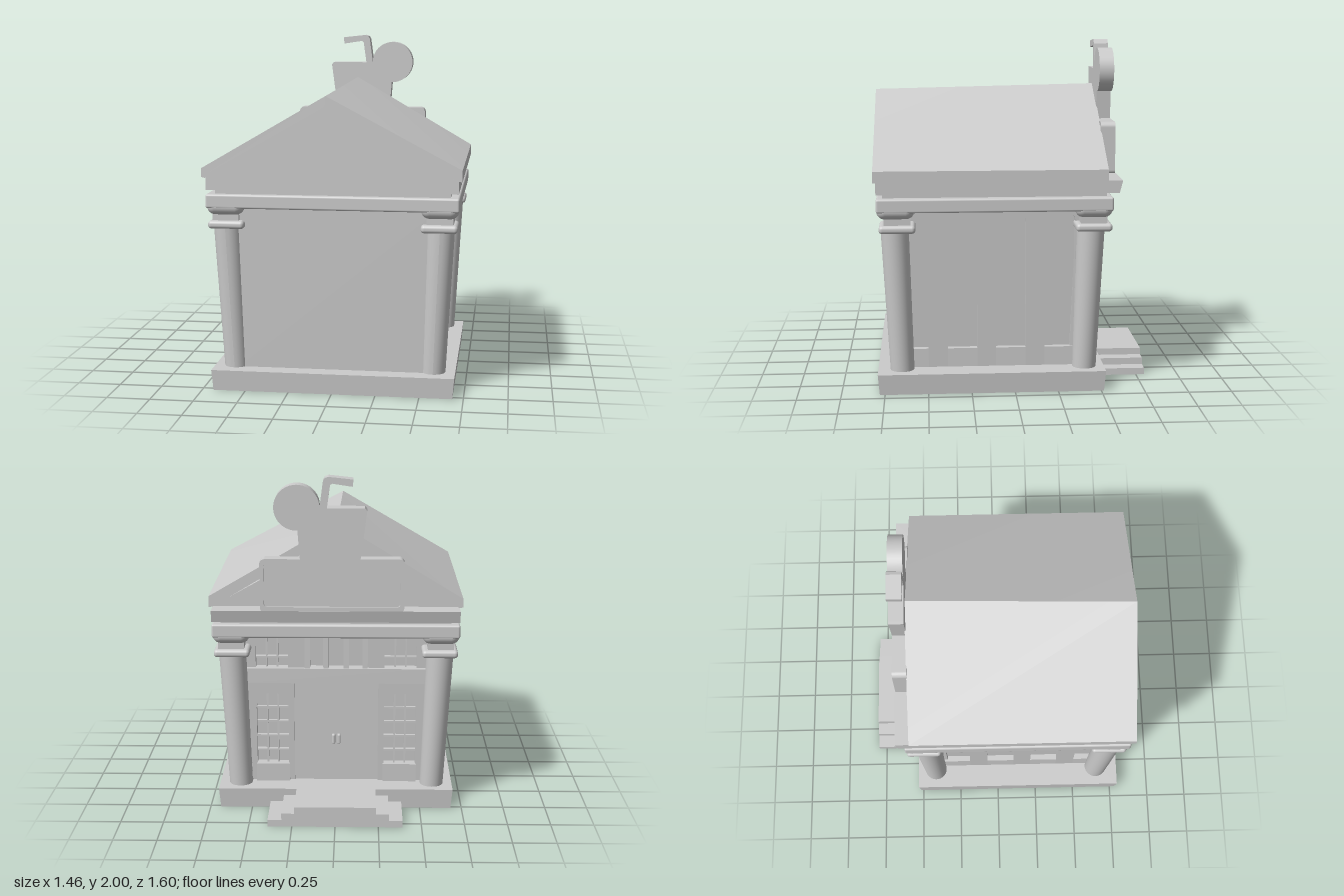
import * as THREE from 'three';
import { RoundedBoxGeometry } from 'three/addons/geometries/RoundedBoxGeometry.js';
import { toCreasedNormals } from 'three/addons/utils/BufferGeometryUtils.js';

const FLOOR = 0.12, TOP = 1.06, LEAN = 0.037;

export function createModel() {
  const model = new THREE.Group();
  const grey = new THREE.MeshStandardMaterial({ color: 0xcccccc });
  const thin = new THREE.MeshStandardMaterial({ color: 0xcccccc, side: THREE.DoubleSide });

  const add = (name, geo, x = 0, y = 0, z = 0, parent = model, mat = grey) => {
    const mesh = new THREE.Mesh(geo, mat);
    mesh.name = name;
    mesh.position.set(x, y, z);
    parent.add(mesh);
  };
  const group = (name, parent = model) => {
    const g = new THREE.Group();
    g.name = name;
    parent.add(g);
    return g;
  };
  // Move every vertex by a rule, then refresh the normals
  const reshape = (geo, rule) => {
    const p = geo.attributes.position, v = new THREE.Vector3();
    for (let i = 0; i < p.count; i++) {
      rule(v.fromBufferAttribute(p, i));
      p.setXYZ(i, v.x, v.y, v.z);
    }
    geo.computeVertexNormals();
    return geo;
  };
  // Box given by its limits, with the top edge pushed outward by `out`
  const block = (x0, x1, y0, y1, z0, z1, out = 0) => {
    const geo = new THREE.BoxGeometry(x1 - x0, y1 - y0, z1 - z0);
    if (out) reshape(geo, v => {
      if (v.y > 0) { v.x += Math.sign(v.x) * out; v.z += Math.sign(v.z) * out; }
    });
    return geo.translate((x0 + x1) / 2, (y0 + y1) / 2, (z0 + z1) / 2);
  };
  const poly = pts => new THREE.Shape(pts.map(p => new THREE.Vector2(...p)));
  const extrude = (shape, depth, z = 0) =>
    new THREE.ExtrudeGeometry(shape, { depth, bevelEnabled: false, curveSegments: 12 }).translate(0, 0, z);
  const archPath = (c, r, y0, y1) => {
    const s = new THREE.Path();
    s.moveTo(c - r, y0);
    s.lineTo(c + r, y0);
    s.lineTo(c + r, y1 - r);
    s.absarc(c, y1 - r, r, 0, Math.PI, false);
    s.lineTo(c - r, y0);
    return s;
  };
  const rectPath = (x0, x1, y0, y1) => poly([[x0, y0], [x1, y0], [x1, y1], [x0, y1]]);
  const lean = v => { v.z += LEAN * (v.y - FLOOR) / (TOP - FLOOR); };

  // Plinth, open underneath
  const plinth = block(-0.685, 0.688, 0, FLOOR, -0.515, 0.78, 0.01);
  const idx = Array.from(plinth.index.array);
  idx.splice(18, 6);
  plinth.setIndex(idx);
  add('plinth', plinth, 0, 0, 0, model, thin);

  // Entrance stairs, descending to both sides, hollow below
  const stairs = group('entranceStairs');
  const half = [[0.39, 0], [0.39, 0.04], [0.31, 0.04], [0.31, 0.08], [0.235, 0.08], [0.235, FLOOR]];
  const mirrored = pts => [...pts, ...pts.map(([x, y]) => [-x, y]).reverse()];
  const outer = mirrored(half);
  const inner = mirrored(half.map(([x, y]) => [x - 0.01, Math.max(0, y - 0.01)]));
  add('treads', extrude(poly([...outer, ...inner.reverse()]), 0.28, -0.8), 0, 0, 0, stairs);
  add('stairFace', extrude(poly(outer), 0.01, -0.8), 0, 0, 0, stairs);

  // Solid core behind the wall panels, and the plain wall
  add('core', block(-0.51, 0.51, FLOOR, TOP, -0.33, 0.66, LEAN));
  add('plainWall', reshape(block(-0.55, 0.55, FLOOR, TOP, 0.66, 0.69), v => {
    lean(v);
    if (v.y > 0.5) v.x += Math.sign(v.x) * LEAN;
  }));

  // Side walls with arched niches and low sills
  for (const s of [1, -1]) {
    const side = group(s > 0 ? 'leftWall' : 'rightWall');
    side.rotation.y = s * Math.PI / 2;
    const wall = rectPath(...(s > 0 ? [-0.685, 0.38] : [-0.38, 0.685]), 0.11, TOP + 0.02);
    for (const z of [0.584, 0.3, 0.018, -0.267]) {
      wall.holes.push(archPath(-s * z, 0.086, 0.12, TOP));
      add('nicheSill', block(-s * z - 0.086, -s * z + 0.086, FLOOR, 0.23, 0.5, 0.55), 0, 0, 0, side);
    }
    add('archedWall', reshape(extrude(wall, 0.045, 0.505), lean), 0, 0, 0, side);
  }

  // Entrance facade with door, windows, belt and posts
  const facade = group('entranceFacade');
  facade.rotation.y = Math.PI;
  const front = rectPath(-0.535, 0.535, 0.11, TOP + 0.02);
  const windows = [[-0.38, 0.095, 0.23, 0.68], [0.38, 0.095, 0.23, 0.68],
    [-0.38, 0.095, 0.82, 1.05], [0.38, 0.095, 0.82, 1.05], [0, 0.18, 0.82, 1.055]];
  front.holes.push(rectPath(-0.25, 0.25, 0.12, 0.76));
  for (const [c, r, y0, y1] of windows) {
    front.holes.push(archPath(c, r, y0, y1));
    const bars = group('windowBars', facade);
    const z = 0.335 + LEAN * (y0 - FLOOR);
    for (const k of [-1, 1])
      add('verticalBar', block(c + k * r / 3 - 0.005, c + k * r / 3 + 0.005, y0, y1 - 0.01, z - 0.02, z + 0.025), 0, 0, 0, bars);
    for (let y = y0 + 0.08; y < y1 - r + 0.02; y += 0.09)
      add('crossBar', block(c - r, c + r, y - 0.005, y + 0.005, z - 0.02, z + 0.025), 0, 0, 0, bars);
  }
  add('facadeWall', reshape(extrude(front, 0.05, 0.325), lean), 0, 0, 0, facade);
  add('door', block(-0.25, 0.25, FLOOR, 0.76, 0.32, 0.365), 0, 0, 0, facade);
  add('belt', block(-0.53, 0.53, 0.75, 0.84, 0.34, 0.43), 0, 0, 0, facade);
  for (const s of [-1, 1]) {
    add('doorHandle', new RoundedBoxGeometry(0.02, 0.06, 0.03, 2, 0.008), s * 0.016, 0.385, 0.375, facade);
    add('windowSill', block(s * 0.38 - 0.1, s * 0.38 + 0.1, FLOOR, 0.23, 0.34, 0.395), 0, 0, 0, facade);
  }
  for (const x of [-0.17, -0.06, 0.06, 0.17])
    add('post', block(x - 0.016, x + 0.016, 0.82, TOP + 0.02, 0.38, 0.42), 0, 0, 0, facade);

  // Four leaning corner columns with cushioned capitals
  for (const sx of [-1, 1]) for (const [zBottom, zTop] of [[0.65, 0.683], [-0.41, -0.437]]) {
    const column = group('column');
    const shaft = reshape(new THREE.CylinderGeometry(0.08, 0.069, 0.84, 28).translate(0, 0.53, 0), v => {
      const t = (v.y - FLOOR) / 0.82;
      v.x += sx * (0.573 + 0.034 * t);
      v.z += zBottom + (zTop - zBottom) * t;
    });
    add('shaft', shaft, 0, 0, 0, column);
    const zCap = zTop > 0 ? 0.668 : -0.448;
    add('collar', new RoundedBoxGeometry(0.207, 0.046, 0.207, 4, 0.02), sx * 0.603, 0.963, zCap, column);
    add('neck', new THREE.BoxGeometry(0.15, 0.06, 0.15), sx * 0.607, 1.005, zCap, column);
    add('capital', new RoundedBoxGeometry(0.214, 0.1, 0.214, 5, 0.048), sx * 0.607, 1.07, zTop > 0 ? 0.677 : -0.447, column);
  }

  // Entablature and cornice
  add('entablature', new RoundedBoxGeometry(1.43, 0.08, 1.34, 3, 0.012), 0, 1.1, 0.115);
  add('friezeStrip', block(-0.665, 0.665, 1.13, 1.17, -0.52, 0.75));
  add('cornice', reshape(block(-0.71, 0.71, 1.165, 1.235, -0.605, 0.785), v => {
    if (v.z < 0 && v.y < 1.2) v.z += 0.018;
  }));

  // Gables and roof, its ridge rising slightly toward the entrance
  add('gable', extrude(poly([[-0.71, 1.235], [0.71, 1.235], [-0.03, 1.65]]), 1.28, -0.49));
  const roof = extrude(poly([[-0.73, 1.24], [-0.71, 1.235], [-0.03, 1.64], [0.705, 1.24], [0.73, 1.235],
    [0.73, 1.3], [-0.025, 1.7], [-0.73, 1.29]]), 1.32, -0.52);
  add('roof', toCreasedNormals(reshape(roof, v => {
    if (v.y > 1.6 && v.z < 0) { v.x += 0.018; v.y += 0.03; }
  }), 0.3));

  // Sign board with a raised rim
  const rounded = (x0, x1, y0, y1, r) => {
    const s = new THREE.Shape();
    s.absarc(x1 - r, y1 - r, r, 0, Math.PI / 2);
    s.absarc(x0 + r, y1 - r, r, Math.PI / 2, Math.PI);
    s.absarc(x0 + r, y0 + r, r, Math.PI, Math.PI * 1.5);
    s.absarc(x1 - r, y0 + r, r, Math.PI * 1.5, Math.PI * 2);
    return s;
  };
  const sign = group('sign');
  const rim = rounded(-0.39, 0.43, 1.225, 1.535, 0.03);
  rim.holes.push(rounded(-0.368, 0.408, 1.257, 1.513, 0.02));
  add('signRim', extrude(rim, 0.085, -0.6), 0, 0, 0, sign);
  add('signPanel', extrude(rounded(-0.38, 0.42, 1.245, 1.525, 0.02), 0.065, -0.585), 0, 0, 0, sign);

  // Cup with a bent straw and a round slice
  const emblem = group('cupEmblem');
  add('cup', extrude(poly([[-0.14, 1.53], [0.2, 1.53], [0.215, 1.72], [0.1, 1.825], [-0.165, 1.825], [-0.177, 1.81]]),
    0.085, -0.6), 0, 0, 0, emblem);
  add('straw', extrude(poly([[0.05, 1.81], [0.092, 1.81], [0.07, 1.975], [0.06, 1.993], [0.04, 2], [-0.1, 1.985],
    [-0.095, 1.945], [0.018, 1.962], [0.03, 1.955]]), 0.085, -0.6), 0, 0, 0, emblem);
  add('slice', new THREE.CylinderGeometry(0.129, 0.129, 0.085, 40).rotateX(Math.PI / 2), 0.218, 1.827, -0.5575, emblem);

  return model;
}
